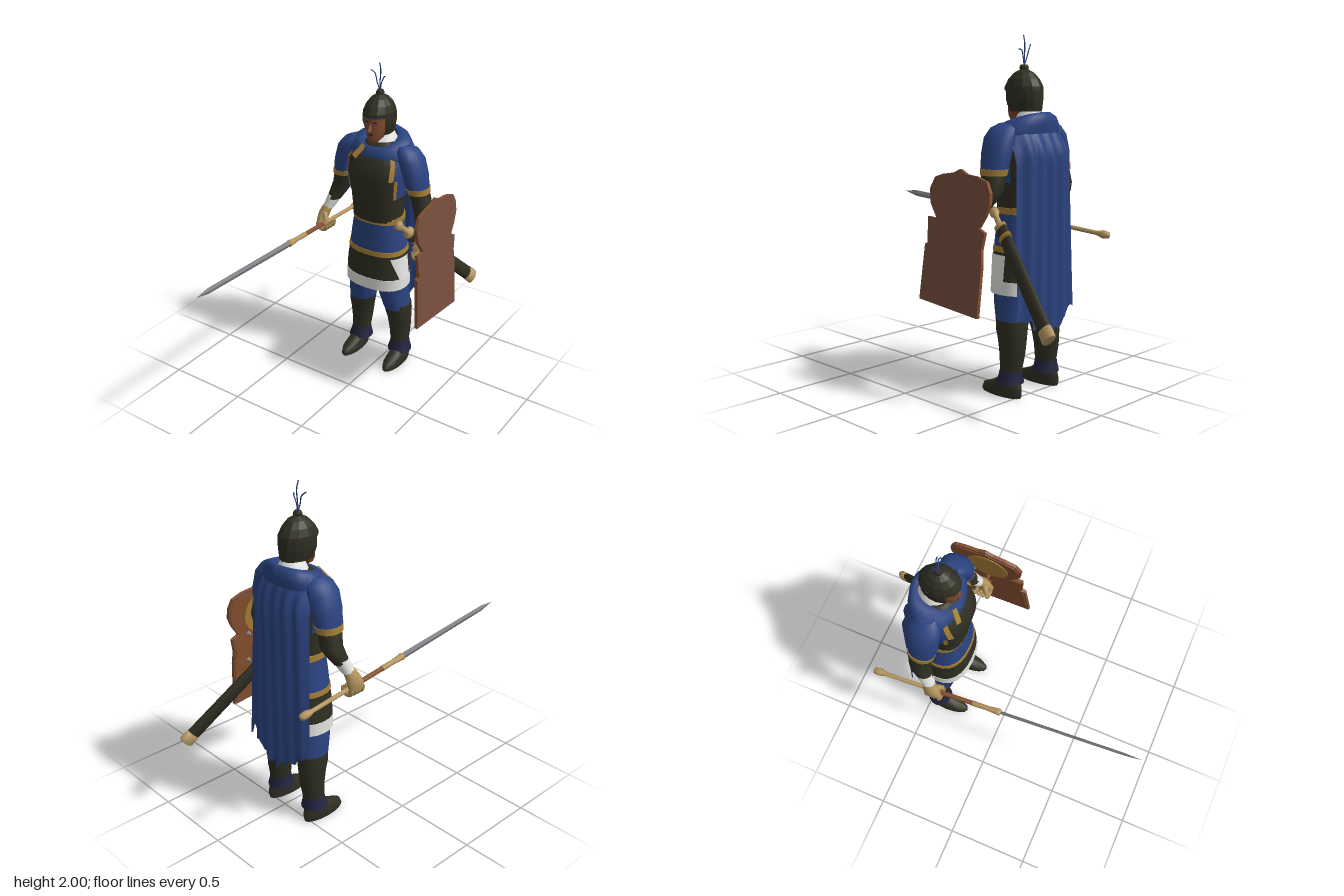
import * as THREE from 'three';

const mat = (name, color) => new THREE.MeshStandardMaterial({ name, color, side: THREE.DoubleSide });
const M = {
  dark: mat('dark armour', 0x2f2e22), blue: mat('blue cloth', 0x2b4380), gold: mat('gold trim', 0xa57e34),
  tan: mat('tan leather and brass', 0xb59660), white: mat('white linen', 0xe4e4e2), steel: mat('steel', 0x85868a),
  skin: mat('skin', 0x7d4a30), navy: mat('navy cuff', 0x23243f), shield: mat('shield brown', 0x784f40),
  wood: mat('orange wood', 0x86502f),
};
const RAD = Math.PI / 180;

function mesh(parent, name, geo, material) {
  const m = new THREE.Mesh(geo, material);
  m.name = name;
  parent.add(m);
  return m;
}
function flat(geo) {
  const g = geo.index ? geo.toNonIndexed() : geo;
  g.computeVertexNormals();
  return g;
}
// Grid surface from f(s, t) -> [x, y, z], s and t in 0..1, t running downward
function surface(f, ns, nt) {
  const pos = [], idx = [];
  for (let j = 0; j <= nt; j++) for (let i = 0; i <= ns; i++) pos.push(...f(i / ns, j / nt));
  for (let j = 0; j < nt; j++) for (let i = 0; i < ns; i++) {
    const a = j * (ns + 1) + i, c = a + ns + 1;
    idx.push(a, c, a + 1, a + 1, c, c + 1);
  }
  const g = new THREE.BufferGeometry();
  g.setAttribute('position', new THREE.Float32BufferAttribute(pos, 3));
  g.setIndex(idx);
  g.computeVertexNormals();
  return g;
}
// Rings listed top to bottom: [y, centre x, centre z, radius x, radius z, forward tilt]
function loft(rings, { n = 16, from = 180, len = 360, open = false, grow = 0, power = 1 } = {}) {
  let r = rings;
  if (!open) {
    const point = (q) => [q[0], q[1], q[2], 0, 0, 0], last = r[r.length - 1];
    r = [point(r[0]), r[0], ...r, last, point(last)];
  }
  const bend = (v) => Math.sign(v) * Math.abs(v) ** power;
  return surface((s, t) => {
    const [y, cx, cz, rx, rz, tilt = 0] = r[Math.round(t * (r.length - 1))];
    const a = (from + s * len) * RAD;
    return [cx + (rx + grow) * bend(Math.sin(a)), y + tilt * Math.cos(a), cz + (rz + grow) * bend(Math.cos(a))];
  }, n, r.length - 1);
}
// Turned part between two points; profile is [radius, fraction]; thin flattens it across x
function rod(parent, name, material, a, b, profile, { n = 10, thin = 1 } = {}) {
  const A = new THREE.Vector3(...a), dir = new THREE.Vector3(...b).sub(A), L = dir.length();
  dir.normalize();
  const zAx = new THREE.Vector3(1, 0, 0).addScaledVector(dir, -dir.x).normalize();
  const xAx = new THREE.Vector3().crossVectors(dir, zAx);
  const g = new THREE.LatheGeometry(profile.map(([r, t]) => new THREE.Vector2(r, t * L)), n);
  g.scale(1, 1, thin);
  g.applyMatrix4(new THREE.Matrix4().makeBasis(xAx, dir, zAx).setPosition(A));
  return mesh(parent, name, n < 6 ? flat(g) : g, material);
}
const lerp = (a, b, t) => a.map((v, i) => v + (b[i] - v) * t);

function buildTorso(body) {
  const chest = [[1.53, 0, -.41, .08, .07], [1.49, 0, -.405, .15, .11], [1.42, 0, -.39, .182, .142],
    [1.33, 0, -.385, .182, .162], [1.2, 0, -.39, .165, .14], [1.04, 0, -.395, .155, .125]];
  mesh(body, 'breastplate', loft(chest, { n: 24, power: .85 }), M.dark);
  for (const s of [-1, 1]) {
    mesh(body, 'breastplateTrim', loft(chest.slice(1, 4), { n: 2, from: s * 54 - 6, len: 12, open: true, grow: .005, power: .85 }), M.gold);
    mesh(body, 'sidePanel', loft(chest.slice(1, 5), { n: 5, from: s * 85 - 24, len: 48, open: true, grow: .004, power: .85 }), M.blue);
    mesh(body, 'sideTrim', loft(chest.slice(3, 5), { n: 2, from: s * 66 - 4, len: 8, open: true, grow: .006, power: .85 }), M.gold);
  }
  // Skirt in coloured bands
  const bands = [
    ['belt', M.gold, [[1.06, .162, .132], [1.025, .163, .133]]],
    ['tunic', M.blue, [[1.03, .158, .128], [.93, .172, .138], [.84, .184, .143]]],
    ['lowerBelt', M.gold, [[.845, .188, .147], [.815, .191, .149]]],
    ['skirt', M.dark, [[.82, .187, .145], [.74, .199, .15], [.65, .205, .152]]],
    ['skirtHem', M.white, [[.655, .207, .154], [.58, .208, .155]]],
  ];
  for (const [name, m, rows] of bands)
    mesh(body, name, loft(rows.map(([y, rx, rz]) => [y, 0, -.405, rx, rz]), { n: 24, power: .85 }), m);
  mesh(body, 'hipPatch', surface((s, t) => {
    const a = (48 + 50 * s + 22 * (1 - s) * t) * RAD, r = .19 + .017 * t;
    return [(r + .004) * Math.sin(a) ** .85, .8 - .15 * t, -.405 + (.15 + .006 * t) * Math.sign(Math.cos(a)) * Math.abs(Math.cos(a)) ** .85];
  }, 6, 4), M.white);
}

function buildHead(body) {
  mesh(body, 'neck', loft([[1.62, 0, -.41, .05, .055], [1.5, 0, -.42, .055, .06]]), M.skin);
  mesh(body, 'collar', loft([[1.585, 0, -.425, .056, .062, -.02], [1.545, 0, -.425, .076, .08, -.02],
    [1.5, 0, -.415, .1, .115, -.03], [1.46, 0, -.4, .1, .13, -.02]], { open: true }), M.white);
  mesh(body, 'face', loft([[1.73, 0, -.385, .066, .085], [1.67, 0, -.375, .066, .085], [1.635, 0, -.37, .064, .08],
    [1.6, 0, -.365, .06, .075], [1.565, 0, -.345, .046, .058], [1.54, 0, -.33, .026, .034]]), M.skin);
  const nose = mesh(body, 'nose', flat(new THREE.ConeGeometry(.017, .06, 4)), M.skin);
  nose.position.set(0, 1.645, -.288);
  nose.rotation.x = -.25;
  mesh(body, 'mouth', new THREE.BoxGeometry(.034, .006, .008), M.navy).position.set(0, 1.592, -.292);
  for (const s of [-1, 1]) mesh(body, 'eye', new THREE.BoxGeometry(.022, .009, .008), M.navy).position.set(s * .026, 1.668, -.299);
  // Helmet dome, neck and cheek guard, lining, knob
  const z = -.39;
  mesh(body, 'helmetDome', flat(loft([[1.815, 0, z, .018, .02], [1.795, 0, z, .05, .06], [1.76, 0, z, .076, .095],
    [1.72, 0, z, .09, .118], [1.7, 0, z, .092, .12]], { n: 12, open: true })), M.dark);
  mesh(body, 'helmetGuard', flat(loft([[1.7, 0, z, .092, .12], [1.65, 0, z, .092, .12], [1.585, 0, z - .01, .076, .105]],
    { n: 10, from: 58, len: 244, open: true })), M.dark);
  mesh(body, 'helmetLining', loft([[1.71, 0, z, .086, .112], [1.692, 0, z, .086, .112]], { n: 8, from: -62, len: 124, open: true }), M.blue);
  mesh(body, 'helmetKnob', loft([[1.84, 0, z, .018, .018], [1.825, 0, z, .026, .026], [1.8, 0, z, .02, .02]], { n: 8 }), M.dark);
  for (const [bx, tx, ty] of [[.002, -.002, 2], [-.018, -.06, 1.95], [.012, .036, 1.925]]) {
    const curve = new THREE.CatmullRomCurve3([new THREE.Vector3(0, 1.83, z), new THREE.Vector3(bx - .004, 1.88, z),
      new THREE.Vector3((bx + tx) / 2, (1.88 + ty) / 2 + .015, z - .003), new THREE.Vector3(tx, ty, z + .008)]);
    mesh(body, 'plumeStrand', new THREE.TubeGeometry(curve, 12, .0035, 5), M.blue);
  }
}

function buildArm(body, s) {
  const arm = new THREE.Group();
  arm.name = s > 0 ? 'leftArm' : 'rightArm';
  body.add(arm);
  const part = (name, m, rows) => mesh(arm, name, loft(rows.map(([y, u, ...r]) => [y, s * u, ...r])), m);
  part('sleeve', M.blue, [[1.525, .16, -.41, .035, .045], [1.5, .185, -.41, .065, .08], [1.45, .215, -.41, .076, .095],
    [1.36, .243, -.412, .071, .095], [1.27, .262, -.415, .065, .082]]);
  part('sleeveTrim', M.gold, [[1.285, .261, -.415, .069, .087], [1.25, .268, -.416, .066, .08]]);
  part('forearm', M.dark, [[1.26, .267, -.416, .06, .072], [1.17, .29, -.425, .061, .065], [1.12, .308, -.41, .055, .06], [1.07, .327, -.385, .044, .05]]);
  part('cuff', M.white, [[1.095, .32, -.395, .048, .052], [1.01, .35, -.355, .035, .04]]);
  part('palm', M.tan, [[1.025, .35, -.355, .032, .038], [.98, .367, -.338, .034, .048], [.93, .378, -.325, .026, .055], [.885, .37, -.32, .02, .048]]);
  for (let i = 0; i < 4; i++) {
    const f = mesh(arm, 'finger', new THREE.TorusGeometry(.034, .0135, 6, 10, Math.PI * 1.1), M.tan);
    f.position.set(s * .352, .908, -.365 + i * .027);
    f.rotation.z = s > 0 ? Math.PI * .95 : Math.PI * .95;
  }
  rod(arm, 'thumb', M.tan, [s * .35, .985, -.31], [s * .318, .93, -.28], [[0, 0], [.016, .05], [.014, .8], [0, 1]]);
}

function buildLeg(body, s) {
  const leg = new THREE.Group();
  leg.name = s > 0 ? 'leftLeg' : 'rightLeg';
  body.add(leg);
  const part = (name, m, rows) => mesh(leg, name, loft(rows.map(([y, u, ...r]) => [y, s * u, ...r])), m);
  part('trouser', M.blue, [[.64, .1, -.415, .098, .125], [.52, .113, -.418, .092, .112], [.41, .13, -.43, .083, .093]]);
  part('boot', M.dark, [[.435, .13, -.434, .086, .097], [.38, .138, -.438, .083, .094], [.32, .142, -.446, .074, .086],
    [.24, .146, -.45, .067, .076], [.13, .15, -.443, .056, .064]]);
  part('bootCuff', M.navy, [[.155, .15, -.444, .058, .066], [.12, .151, -.443, .066, .07], [.08, .152, -.44, .078, .08]]);
  part('foot', M.dark, [[.11, .155, -.445, .045, .06], [.07, .158, -.42, .049, .1], [.045, .16, -.39, .053, .136],
    [.015, .16, -.383, .054, .143], [0, .16, -.383, .051, .14]]);
}

function buildCape(body) {
  mesh(body, 'mantle', loft([[1.535, 0, -.425, .09, .1, -.035], [1.55, 0, -.425, .125, .12, -.035], [1.535, 0, -.425, .17, .14, -.03],
    [1.49, 0, -.42, .205, .15, -.03], [1.45, 0, -.42, .212, .14, -.02]], { n: 24, open: true }), M.blue);
  mesh(body, 'cape', surface((p, t) => {
    const s = p * 2 - 1, e = Math.abs(s), hem = .36 + .17 * e ** 1.6 + .022 * Math.sin(s * 23) - (s > .9 ? .06 : 0);
    const top = 1.54 - .05 * e * e, drop = Math.min(1, t * 6);
    const z = -.5 - .085 * Math.sin(drop * Math.PI / 2) + .07 * e ** 4 * (1 - .6 * t);
    return [s * (.205 + .04 * t ** .6), top + (hem - top) * t, z + .012 * Math.sin(s * 17) * drop - .008 * t];
  }, 36, 18), M.blue);
  const strap = mesh(body, 'capeStrap', new THREE.BoxGeometry(.034, .09, .009), M.gold);
  strap.position.set(-.07, 1.48, -.278);
  strap.rotation.set(-.6, 0, -.5);
}

function buildWeapons(root) {
  // Long-handled blade in the right hand
  const butt = [-.42, .88, -.72], tip = [-.34, 1, .94], at = (t) => lerp(butt, tip, t);
  rod(root, 'handleButt', M.tan, butt, at(.27), [[0, 0], [.02, .02], [.024, .1], [.013, .2], [.013, 1], [0, 1]]);
  rod(root, 'handleGrip', M.wood, at(.26), at(.39), [[0, 0], [.014, 0], [.014, 1], [0, 1]]);
  rod(root, 'handleSocket', M.tan, at(.38), at(.49), [[0, 0], [.017, .02], [.015, .5], [.02, .85], [.022, .95], [0, 1]]);
  rod(root, 'blade', M.steel, at(.485), tip, [[0, 0], [.023, .01], [.019, .88], [0, 1]], { n: 4, thin: .42 });
  // Sheathed sword at the left hip
  const hilt = [.125, 1.045, -.325], end = [.355, .465, -.935], on = (t) => lerp(hilt, end, t);
  rod(root, 'swordHilt', M.tan, hilt, on(.17), [[0, 0], [.028, .04], [.032, .2], [.018, .35], [.018, .75], [.04, .8], [.04, .95], [0, 1]], { thin: .8 });
  rod(root, 'scabbard', M.dark, on(.16), on(.93), [[0, 0], [.042, 0], [.045, 1], [0, 1]], { n: 12, thin: .55 });
  rod(root, 'scabbardBand', M.gold, on(.22), on(.25), [[0, 0], [.046, 0], [.046, 1], [0, 1]], { n: 12, thin: .6 });
  rod(root, 'scabbardTip', M.tan, on(.92), end, [[0, 0], [.047, 0], [.049, .9], [.04, 1], [0, 1]], { n: 12, thin: .58 });
}

function buildShield(root) {
  // Outline as [-z, y], relative to the shield centre
  const cz = .32, cy = .9;
  const outline = [[.065, .55], [.515, .515], [.525, .8], [.518, .88], [.535, .97], [.49, .99], [.535, 1.06], [.56, 1.12], [.557, 1.18],
    [.53, 1.235], [.46, 1.258], [.38, 1.265], [.33, 1.29], [.285, 1.268], [.2, 1.255], [.14, 1.235], [.105, 1.17], [.115, 1.09], [.17, 1.01],
    [.1, 1.015], [.108, .87], [.088, .86]].map(([a, y]) => new THREE.Vector2(a - cz, y - cy));
  const g = new THREE.Group();
  g.name = 'shield';
  g.position.set(.405, cy, -cz);
  g.rotation.z = .08;
  root.add(g);
  const plate = (name, k, depth, x, m) => {
    const geo = new THREE.ExtrudeGeometry(new THREE.Shape(outline.map((p) => p.clone().multiplyScalar(k))), { depth, bevelEnabled: false });
    geo.rotateY(Math.PI / 2);
    mesh(g, name, geo, m).position.x = x;
  };
  plate('shieldBoard', 1, .02, -.008, [M.shield, M.wood]);
  plate('shieldLining', .95, .006, -.013, M.wood);
  const inset = mesh(g, 'shieldInset', new THREE.CylinderGeometry(.13, .13, .006, 20), M.gold);
  inset.rotation.z = Math.PI / 2;
  inset.position.set(-.015, .2, 0);
  const grip = mesh(g, 'shieldGrip', new THREE.TorusGeometry(.055, .013, 6, 12, Math.PI), M.wood);
  grip.position.set(-.01, .01, 0);
  grip.rotation.z = Math.PI / 2;
  for (const y of [-.1, .08]) {
    const stud = mesh(g, 'shieldStud', new THREE.ConeGeometry(.018, .03, 8), M.steel);
    stud.rotation.z = Math.PI / 2;
    stud.position.set(-.025, y, -.1);
  }
}

export function createModel() {
  const root = new THREE.Group();
  root.name = 'warrior';
  const body = new THREE.Group();
  body.name = 'body';
  body.position.x = -.05;
  root.add(body);
  buildTorso(body);
  buildHead(body);
  for (const s of [-1, 1]) { buildArm(body, s); buildLeg(body, s); }
  buildCape(body);
  buildWeapons(root);
  buildShield(root);
  return root;
}
